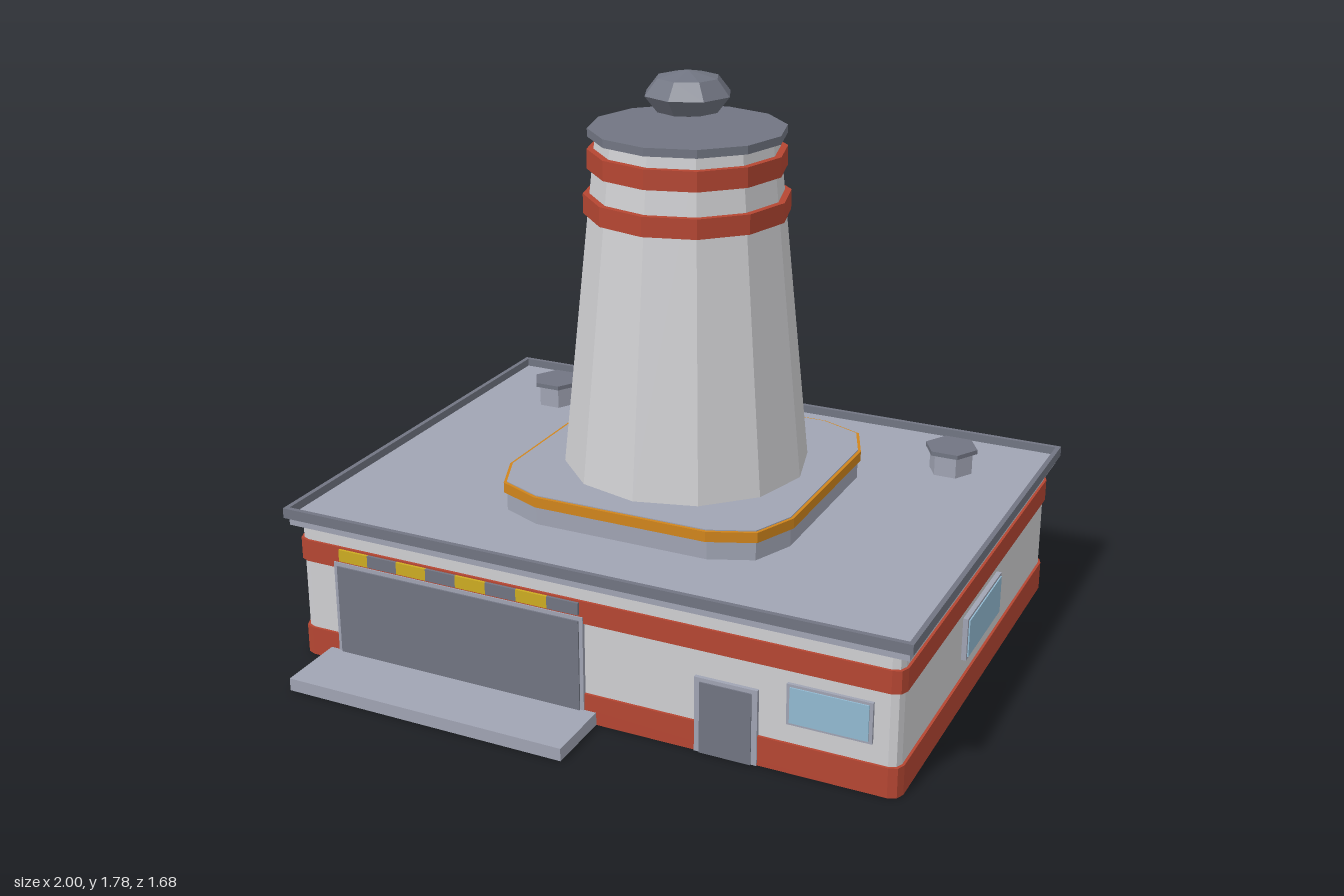
import * as THREE from 'three';

const mat = (name, color) => {
  const m = new THREE.MeshStandardMaterial({ color });
  m.name = name;
  return m;
};

export function createModel() {
  const model = new THREE.Group();
  model.name = 'towerBuilding';
  const CZ = -0.1; // depth centre of building and tower

  const wall = mat('wallWhite', 0xcfcfd2);
  const red = mat('bandRed', 0xb54632);
  const slab = mat('slabGrey', 0xa0a4b3);
  const dark = mat('darkGrey', 0x717582);
  const orange = mat('trimOrange', 0xd0851c);
  const yellow = mat('hazardYellow', 0xcdac22);
  const glass = mat('windowBlue', 0x92bad2);

  const add = (name, geo, material, x = 0, y = 0, z = 0, parent = model) => {
    const mesh = new THREE.Mesh(geo, material);
    mesh.name = name;
    mesh.position.set(x, y, z);
    parent.add(mesh);
    return mesh;
  };
  const faceted = (geo) => {
    const g = geo.toNonIndexed();
    g.computeVertexNormals();
    return g;
  };
  const box = (name, material, x0, x1, y0, y1, z0, z1, parent) =>
    add(name, new THREE.BoxGeometry(x1 - x0, y1 - y0, z1 - z0), material,
      (x0 + x1) / 2, (y0 + y1) / 2, (z0 + z1) / 2, parent);

  // Rectangle outline with rounded (two-segment) corners
  const outline = (path, w, d, r) => {
    const a = w / 2, b = d / 2;
    if (r === 0) {
      path.moveTo(-a, -b).lineTo(a, -b).lineTo(a, b).lineTo(-a, b).closePath();
      return path;
    }
    path.moveTo(a, b - r);
    [[1, 1], [-1, 1], [-1, -1], [1, -1]].forEach(([sx, sy], i) => {
      for (let k = 0; k <= 2; k++) {
        const t = (i + k / 2) * Math.PI / 2;
        path.lineTo(sx * (a - r) + r * Math.cos(t), sy * (b - r) + r * Math.sin(t));
      }
    });
    path.closePath();
    return path;
  };
  // Horizontal plate between two heights, optionally hollow with a given wall
  const plate = (name, material, w, d, y0, y1, r = 0, rimWall = 0) => {
    const shape = outline(new THREE.Shape(), w, d, r);
    if (rimWall) {
      shape.holes.push(outline(new THREE.Path(), w - 2 * rimWall, d - 2 * rimWall, Math.max(0, r - rimWall)));
    }
    const geo = new THREE.ExtrudeGeometry(shape, { depth: y1 - y0, bevelEnabled: false });
    geo.rotateX(-Math.PI / 2);
    return add(name, geo, material, 0, y0, CZ);
  };
  const drum = (name, material, rTop, rBottom, y0, y1, sides = 12, x = 0, z = CZ, turn = 0) => {
    const geo = new THREE.CylinderGeometry(rTop, rBottom, y1 - y0, sides);
    geo.rotateY(turn);
    return add(name, faceted(geo), material, x, (y0 + y1) / 2, z);
  };

  // Main block with red bands
  plate('walls', wall, 1.93, 1.43, 0.01, 0.44, 0.03);
  plate('baseBand', red, 1.946, 1.446, 0, 0.093, 0.035);
  plate('upperBand', red, 1.946, 1.446, 0.32, 0.39, 0.035);

  // Roof slab and parapet
  plate('roofSlab', slab, 1.975, 1.465, 0.435, 0.466);
  plate('parapet', dark, 2.0, 1.49, 0.46, 0.492, 0, 0.015);

  // Tower plinth with orange trim
  plate('plinth', slab, 0.93, 0.93, 0.46, 0.56, 0.185);
  plate('plinthTrim', orange, 0.95, 0.95, 0.525, 0.557, 0.195, 0.015);

  // Tapered tower, bands and cap
  drum('tower', wall, 0.274, 0.381, 0.555, 1.59);
  drum('lowerTowerBand', red, 0.312, 0.312, 1.355, 1.415);
  drum('upperTowerBand', red, 0.299, 0.299, 1.49, 1.55);
  drum('towerCap', dark, 0.297, 0.297, 1.587, 1.612);

  // Flattened dome floating above the cap
  const dome = new THREE.SphereGeometry(1, 8, 4);
  dome.scale(0.134, 0.07, 0.134);
  add('topDome', faceted(dome), dark, 0, 1.71, CZ);

  // Hexagonal roof vents
  for (const s of [-1, 1]) {
    drum('ventStem', slab, 0.07, 0.07, 0.46, 0.54, 6, s * 0.715, -0.563, Math.PI / 2);
    drum('ventCap', dark, 0.085, 0.085, 0.536, 0.55, 6, s * 0.715, -0.563, Math.PI / 2);
  }

  // Loading door, step and hazard strip
  const F = 0.61;
  box('loadingDoorFrame', slab, -0.838, 0.012, 0, 0.34, F, 0.627);
  box('loadingDoor', dark, -0.825, 0, 0.04, 0.328, F, 0.632);
  box('loadingStep', slab, -0.87, 0.05, 0, 0.04, F, 0.84);
  const w = 0.102;
  for (let i = 0; i < 8; i++) {
    const x = -0.816 + i * w;
    box('hazardBlock', i % 2 ? dark : yellow, x, x + w, 0.347, 0.385, 0.622, 0.631);
  }

  // Entrance door
  box('entranceFrame', slab, 0.363, 0.555, 0, 0.237, F, 0.627);
  box('entranceDoor', dark, 0.38, 0.538, 0, 0.225, F, 0.631);

  // Framed windows on the front and both sides
  const addWindow = (x, y, z, width, height, turn) => {
    const g = new THREE.Group();
    g.name = 'window';
    g.position.set(x, y, z);
    g.rotation.y = turn;
    model.add(g);
    const a = width / 2, b = height / 2;
    box('windowFrame', slab, -a, a, -b, b, -0.01, 0.01, g);
    box('windowGlass', glass, -a + 0.01, a - 0.01, -b + 0.008, b - 0.008, 0.006, 0.014, g);
  };
  addWindow(0.765, 0.218, 0.615, 0.25, 0.126, 0);
  for (const s of [-1, 1]) addWindow(s * 0.97, 0.222, CZ, 0.34, 0.135, s * Math.PI / 2);

  return model;
}
